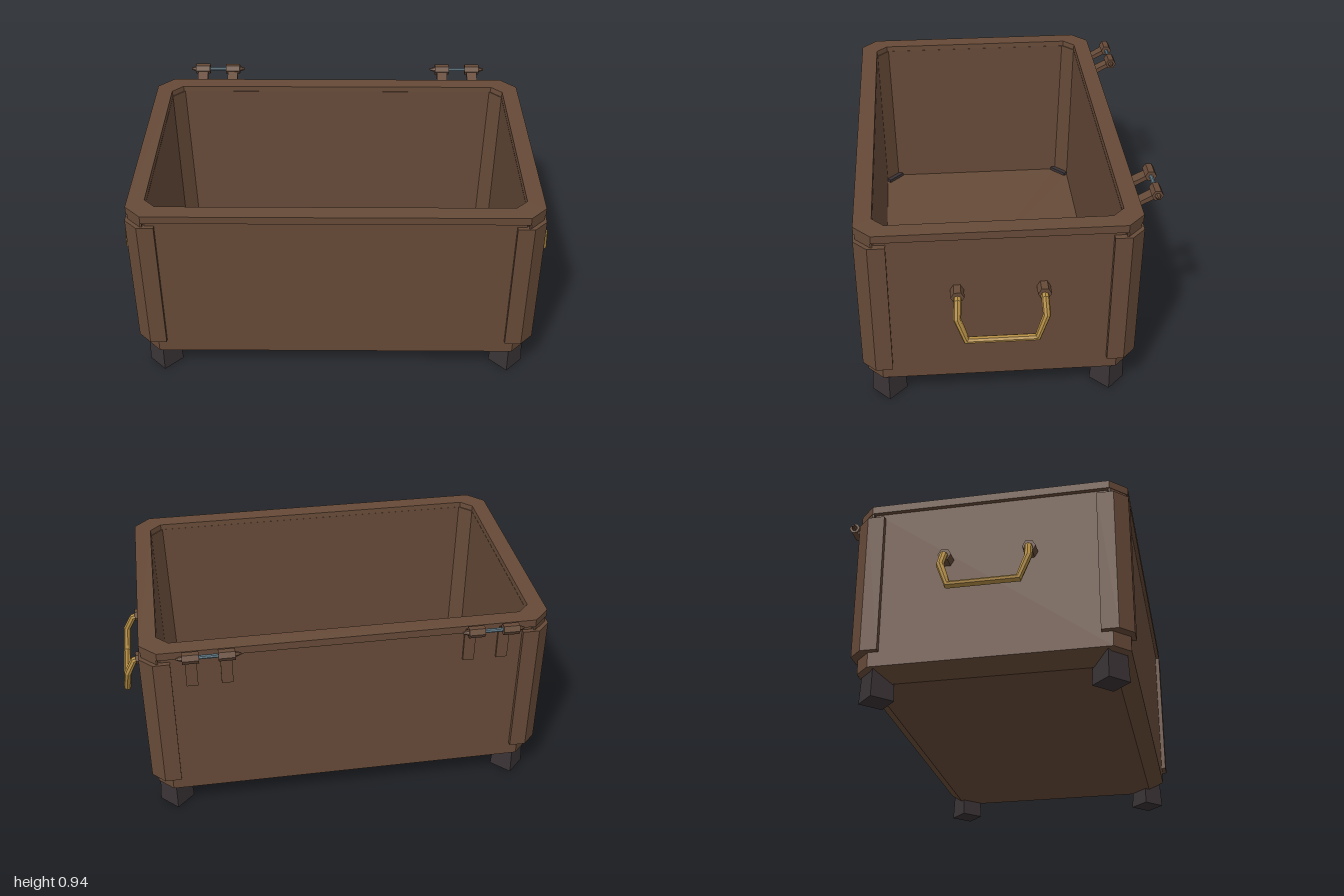
import * as THREE from 'three';

const mat = (name, color) => {
  const m = new THREE.MeshStandardMaterial({ color, flatShading: true });
  m.name = name;
  return m;
};

// Octagonal plan: rectangle with chamfered corners
const ring = ([hx, hz, c, y]) => [
  [hx, -hz + c], [hx, hz - c], [hx - c, hz], [-hx + c, hz],
  [-hx, hz - c], [-hx, -hz + c], [-hx + c, -hz], [hx - c, -hz],
].map(([x, z]) => [x, y, z]);

// Skin a series of octagonal rings
function loft(profile) {
  const rings = profile.map(ring), pos = [];
  for (let k = 0; k < rings.length - 1; k++) {
    const a = rings[k], b = rings[k + 1];
    for (let i = 0; i < 8; i++) {
      const j = (i + 1) % 8;
      pos.push(...a[i], ...b[i], ...b[j], ...a[i], ...b[j], ...a[j]);
    }
  }
  const g = new THREE.BufferGeometry();
  g.setAttribute('position', new THREE.Float32BufferAttribute(pos, 3));
  g.computeVertexNormals();
  return g;
}

// Vertical prism from a plan outline, y0 to y1
function prism(points, y0, y1) {
  const shape = new THREE.Shape(points.map(([x, z]) => new THREE.Vector2(x, z)));
  return new THREE.ExtrudeGeometry(shape, { depth: y1 - y0, bevelEnabled: false })
    .rotateX(Math.PI / 2).translate(0, y1, 0);
}

// Path with mitred corners
class BentPath extends THREE.Curve {
  constructor(points) { super(); this.points = points; }
  getPointAt(u) { return this.points[Math.round(u * (this.points.length - 1))].clone(); }
  getTangentAt(u) {
    const p = this.points, n = p.length - 1, i = Math.round(u * n), t = new THREE.Vector3();
    if (i > 0) t.add(p[i].clone().sub(p[i - 1]).normalize());
    if (i < n) t.add(p[i + 1].clone().sub(p[i]).normalize());
    return t.normalize();
  }
}

export function createModel() {
  const wood = mat('brown', 0x664a38);
  const footMat = mat('dark grey', 0x3a3335);
  const brass = mat('brass', 0xb28c44);
  const steel = mat('steel', 0x66808c);

  const model = new THREE.Group();
  const box = new THREE.Group();
  box.name = 'box';
  box.position.z = 0.0475;
  model.add(box);
  const add = (name, geometry, material, parent = box) => {
    const m = new THREE.Mesh(geometry, material);
    m.name = name;
    parent.add(m);
    return m;
  };

  // Hollow shell with bevelled base
  add('shell', loft([
    [0, 0, 0, 0.075], [0.8, 0.503, 0.045, 0.075], [0.87, 0.573, 0.065, 0.13], [0.87, 0.573, 0.065, 0.87],
    [0.812, 0.512, 0.055, 0.87], [0.8, 0.5, 0.06, 0.11], [0, 0, 0, 0.11],
  ]), wood);

  // Rim
  add('rim', loft([
    [0.812, 0.512, 0.05, 0.86], [0.89, 0.59, 0.072, 0.86], [0.89, 0.59, 0.072, 0.895],
    [0.815, 0.515, 0.05, 0.895], [0.812, 0.512, 0.05, 0.86],
  ]), wood);

  // Corner posts, their caps and the feet
  for (const sx of [-1, 1]) for (const sz of [-1, 1]) {
    const corner = (hx, hz, w, c) => [
      [hx, hz - w], [hx, hz - c], [hx - c, hz], [hx - w, hz],
      [hx - w, 0.55], [0.84, 0.54], [0.84, hz - w],
    ].map(([x, z]) => [x * sx, z * sz]);
    add('cornerPost', prism(corner(0.895, 0.5925, 0.13, 0.057), 0.195, 0.837), wood);
    add('cornerCap', prism(corner(0.884, 0.583, 0.07, 0.062), 0.837, 0.86), wood);

    const foot = add('foot', new THREE.CylinderGeometry(0.07, 0.077, 0.125, 4), footMat);
    foot.position.set(sx * 0.794, 0.0625, sz * 0.485);
  }

  // Side handles hung from hexagonal bosses
  for (const sx of [-1, 1]) {
    const handle = new THREE.Group();
    handle.name = sx > 0 ? 'leftHandle' : 'rightHandle';
    box.add(handle);
    const half = [[0.9, 0.595, 0.18], [0.935, 0.585, 0.18], [0.968, 0.52, 0.185], [0.98, 0.415, 0.148]];
    const path = [
      ...half.map(([x, y, z]) => new THREE.Vector3(x * sx, y, z)),
      ...half.slice().reverse().map(([x, y, z]) => new THREE.Vector3(x * sx, y, -z)),
    ];
    add('grip', new THREE.TubeGeometry(new BentPath(path), path.length - 1, 0.017, 8), brass, handle);
    for (const sz of [-1, 1]) {
      const boss = add('handleBoss', new THREE.CylinderGeometry(0.029, 0.029, 0.06, 6), wood, handle);
      boss.rotation.z = Math.PI / 2;
      boss.position.set(sx * 0.895, 0.595, sz * 0.18);
    }
  }

  // Rear hinges
  for (const sx of [-1, 1]) {
    const hinge = new THREE.Group();
    hinge.name = 'hinge';
    hinge.position.x = sx * 0.604;
    model.add(hinge);

    const pin = add('hingePin', new THREE.CylinderGeometry(0.009, 0.009, 0.22, 8), steel, hinge);
    pin.rotation.z = Math.PI / 2;
    pin.position.set(0, 0.914, -0.617);

    for (const s of [-1, 1]) {
      const knuckle = add('hingeKnuckle', new THREE.CylinderGeometry(0.025, 0.025, 0.07, 6), wood, hinge);
      knuckle.rotation.z = Math.PI / 2;
      knuckle.position.set(s * 0.075, 0.914, -0.617);

      const tip = add('hingePinTip', new THREE.CylinderGeometry(0.004, 0.014, 0.026, 6), wood, hinge);
      tip.rotation.z = -s * Math.PI / 2;
      tip.position.set(s * 0.122, 0.914, -0.617);

      const arm = add('hingeArm', new THREE.BoxGeometry(0.05, 0.02, 0.1), wood, hinge);
      arm.rotation.x = 0.5;
      arm.position.set(s * 0.075, 0.885, -0.572);

      const strap = add('hingeStrap', new THREE.BoxGeometry(0.05, 0.15, 0.014), wood, hinge);
      strap.position.set(s * 0.075, 0.785, -0.529);
    }
  }
  return model;
}
